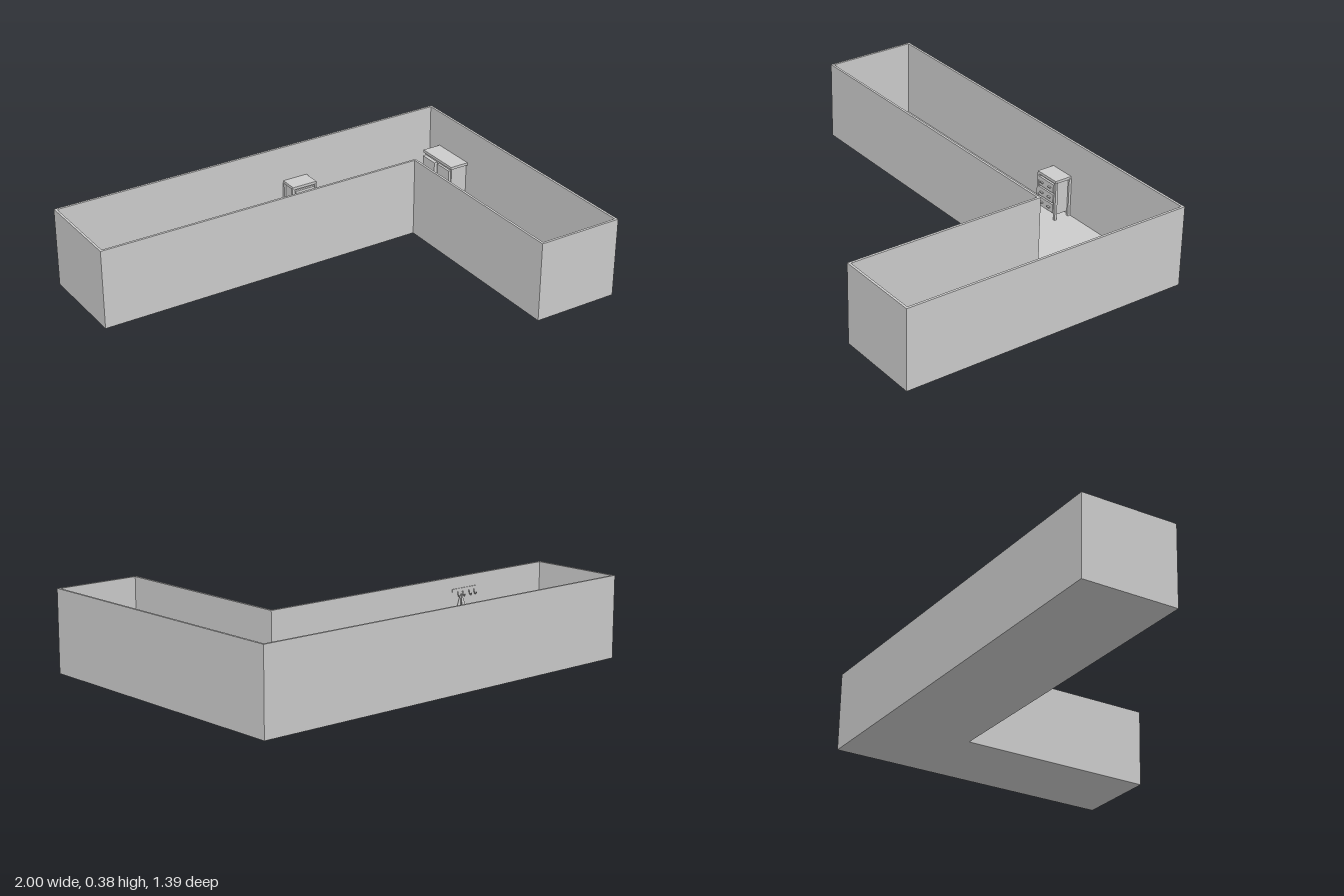
import * as THREE from 'three';

const grey = new THREE.MeshStandardMaterial({ color: 0xcccccc, side: THREE.DoubleSide });

function add(parent, name, geometry, x = 0, y = 0, z = 0) {
  const mesh = new THREE.Mesh(geometry, grey);
  mesh.name = name;
  mesh.position.set(x, y, z);
  parent.add(mesh);
  return mesh;
}

// Box given by its minimum and maximum corners
function box(parent, name, [x0, y0, z0], [x1, y1, z1]) {
  return add(parent, name, new THREE.BoxGeometry(x1 - x0, y1 - y0, z1 - z0),
    (x0 + x1) / 2, (y0 + y1) / 2, (z0 + z1) / 2);
}

function group(parent, name) {
  const g = new THREE.Group();
  g.name = name;
  parent.add(g);
  return g;
}

// L-shaped plan, inset by t; shape y is -z so extrusion ends up pointing up
function plan(t, Type) {
  const pts = [[-1 + t, 0.695 - t], [-1 + t, 0.245 + t], [0.59 + t, 0.245 + t],
    [0.59 + t, -0.695 + t], [1 - t, -0.695 + t], [1 - t, 0.695 - t]];
  return new Type(pts.map(p => new THREE.Vector2(...p)));
}

function extrudeUp(shape, depth) {
  return new THREE.ExtrudeGeometry(shape, { depth, bevelEnabled: false }).rotateX(-Math.PI / 2);
}

function buildRoom(root) {
  const room = group(root, 'room');
  const wallShape = plan(0, THREE.Shape);
  wallShape.holes.push(plan(0.011, THREE.Path));
  add(room, 'walls', extrudeUp(wallShape, 0.375));
  add(room, 'floor', extrudeUp(plan(0.011, THREE.Shape), 0.008));
}

// Chest of drawers with corner posts, against the back wall
function buildChest(root) {
  const chest = group(root, 'chest');
  box(chest, 'chestBody', [0.16, 0.03, -0.683], [0.276, 0.19, -0.605]);
  box(chest, 'chestTop', [0.155, 0.19, -0.684], [0.281, 0.203, -0.597]);
  for (const x of [0.157, 0.279]) for (const z of [-0.677, -0.602]) {
    box(chest, 'chestLeg', [x - 0.006, 0.008, z - 0.006], [x + 0.006, 0.194, z + 0.006]);
  }
  for (let i = 0; i < 3; i++) {
    const y = 0.04 + i * 0.05;
    box(chest, 'drawerFront', [0.167, y, -0.606], [0.269, y + 0.042, -0.594]);
    for (const x of [0.192, 0.244]) {
      box(chest, 'drawerHandle', [x - 0.009, y + 0.019, -0.594], [x + 0.009, y + 0.024, -0.586]);
    }
  }
}

// Low cupboard with two doors, against the left wall
function buildCupboard(root) {
  const cupboard = group(root, 'cupboard');
  box(cupboard, 'cupboardBody', [0.9, 0.008, -0.595], [0.985, 0.19, -0.38]);
  box(cupboard, 'cupboardTop', [0.893, 0.19, -0.602], [0.988, 0.203, -0.374]);
  [[-0.59, -0.495, 0.882, -0.506], [-0.48, -0.387, 0.888, -0.468]].forEach(([z0, z1, x, knobZ]) => {
    box(cupboard, 'door', [x, 0.025, z0], [0.901, 0.18, z1]);
    box(cupboard, 'doorHandle', [x - 0.006, 0.09, knobZ - 0.004], [x, 0.12, knobZ + 0.004]);
  });
}

// Rail with hooks and a hanging garment, on the inner front wall
function buildCoatRack(root) {
  const rack = group(root, 'coatRack');
  box(rack, 'rail', [-0.57, 0.308, -0.26], [-0.425, 0.322, -0.255]);
  for (const x of [-0.56, -0.53, -0.49, -0.46]) {
    const hook = new THREE.CatmullRomCurve3([[0, 0.312, -0.258], [0, 0.292, -0.262],
      [0, 0.286, -0.269], [0, 0.294, -0.275]].map(p => new THREE.Vector3(...p)));
    add(rack, 'hook', new THREE.TubeGeometry(hook, 8, 0.0025, 6), x);
  }

  // Pleated cloth: four folds gathered at the hook and flaring downwards
  const rim = [[-0.03, -0.035], [-0.002, -0.012], [0.027, -0.035], [0.007, 0.002],
    [0.03, 0.024], [0, 0.012], [-0.025, 0.024], [-0.008, 0.002]];
  const levels = [[0.302, 0.08], [0.27, 0.3], [0.21, 0.65], [0.14, 1]];
  const pos = [], index = [], n = rim.length;
  for (const [y, s] of levels) for (const [x, z] of rim) pos.push(-0.46 + x * s, y, -0.279 + z * s);
  for (let r = 0; r < levels.length - 1; r++) for (let i = 0; i < n; i++) {
    const a = r * n + i, b = r * n + (i + 1) % n;
    index.push(a, b, a + n, b, b + n, a + n);
  }
  const cloth = new THREE.BufferGeometry();
  cloth.setAttribute('position', new THREE.Float32BufferAttribute(pos, 3));
  cloth.setIndex(index);
  const flat = cloth.toNonIndexed();
  flat.computeVertexNormals();
  add(rack, 'hangingGarment', flat);
}

export function createModel() {
  const root = new THREE.Group();
  root.name = 'lShapedRoom';
  buildRoom(root);
  buildChest(root);
  buildCupboard(root);
  buildCoatRack(root);
  return root;
}
